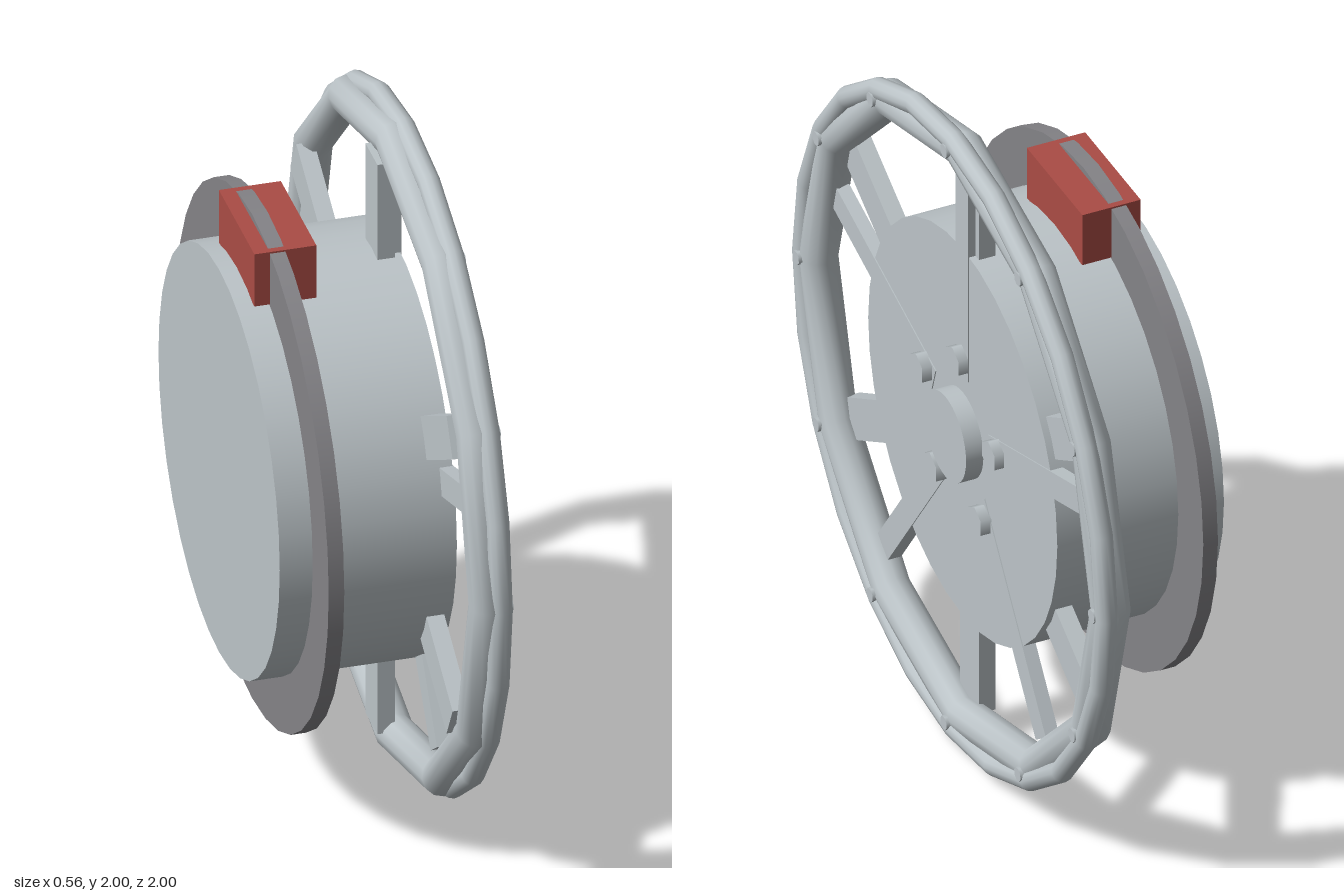
import * as THREE from 'three';

const mat = (name, color) => {
  const m = new THREE.MeshStandardMaterial({ color });
  m.name = name;
  return m;
};

export function createModel() {
  const silver = mat('silver', 0xbcc4c8);
  const steel = mat('dark steel', 0x848387);
  const red = mat('caliper red', 0xaa4c45);

  const root = new THREE.Group();
  root.name = 'wheel';
  const wheel = new THREE.Group(); // axle along x, outer face towards +x
  wheel.name = 'wheelAssembly';
  wheel.position.y = 1;
  root.add(wheel);

  const add = (name, geo, material, y = 0, z = 0) => {
    const mesh = new THREE.Mesh(geo, material);
    mesh.name = name;
    mesh.position.set(0, y, z);
    wheel.add(mesh);
    return mesh;
  };
  // Cylinder lying along x between x0 and x1
  const disc = (r, x0, x1, sides) =>
    new THREE.CylinderGeometry(r, r, x1 - x0, sides)
      .rotateY(Math.PI / 6).rotateZ(-Math.PI / 2).translate((x0 + x1) / 2, 0, 0);
  const ring = (r, tube, x, segments) =>
    new THREE.TorusGeometry(r, tube, 12, segments).rotateY(Math.PI / 2).translate(x, 0, 0);

  // Barrel, brake disc and hub cap
  add('barrel', disc(0.605, -0.28, 0.22, 36), silver);
  add('brakeDisc', disc(0.765, -0.187, -0.143, 36), steel);
  add('hubCap', disc(0.132, 0.21, 0.272, 36), silver);

  // Brake caliper straddling the top of the disc
  add('brakeCaliper', new THREE.BoxGeometry(0.175, 0.165, 0.355).translate(-0.143, 0.664, 0), red);

  // Outer rim with a raised lip
  add('rim', ring(0.935, 0.055, 0.215, 12), silver);
  add('rimLip', ring(0.968, 0.032, 0.243, 24), silver);

  // Evenly spaced radial bars, the first one pointing up
  const spokes = (name, count, x0, x1, r0, r1, width) => {
    for (let i = 0; i < count; i++) {
      const geo = new THREE.BoxGeometry(x1 - x0, r1 - r0, width)
        .translate((x0 + x1) / 2, (r0 + r1) / 2, 0);
      add(name, geo, silver).rotation.x = (i / count) * Math.PI * 2;
    }
  };
  spokes('rearSpoke', 6, 0.15, 0.2, 0.5, 0.9, 0.12);
  spokes('frontSpoke', 5, 0.183, 0.223, 0.19, 0.86, 0.08);

  // Rings of bolts
  const bolts = (name, count, radius, size, x0, x1, sides) => {
    for (let i = 0; i < count; i++) {
      const a = (i / count) * Math.PI * 2;
      add(name, disc(size, x0, x1, sides), silver, radius * Math.cos(a), radius * Math.sin(a));
    }
  };
  bolts('wheelNut', 5, 0.243, 0.046, 0.21, 0.252, 6);
  bolts('rimBolt', 12, 0.945, 0.021, 0.25, 0.278, 8);

  return root;
}
